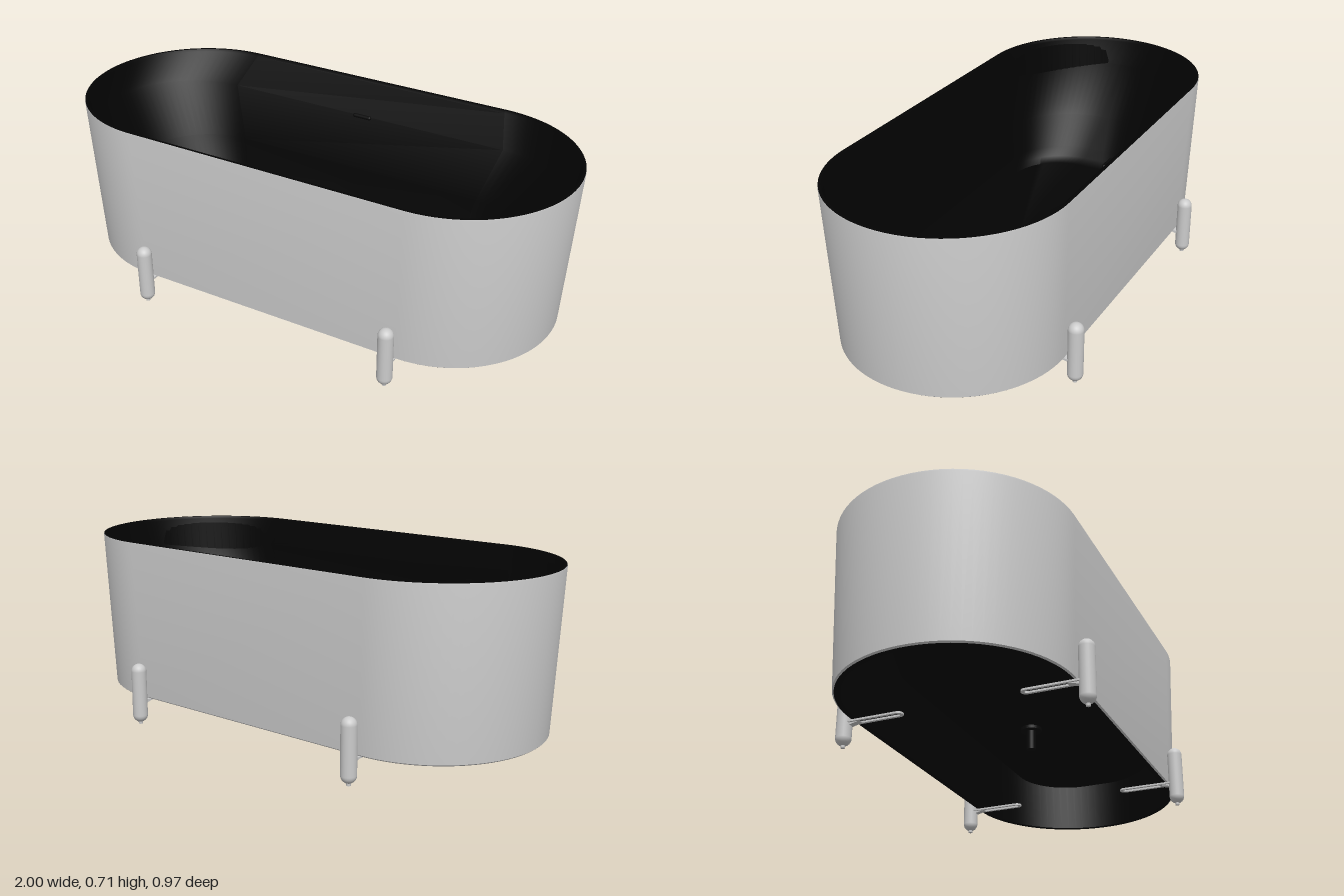
import * as THREE from 'three';
import { toCreasedNormals } from 'three/addons/utils/BufferGeometryUtils.js';

const grey = new THREE.MeshStandardMaterial({ color: 0xcccccc });
const greyThin = new THREE.MeshStandardMaterial({ color: 0xcccccc, side: THREE.DoubleSide });
const dark = new THREE.MeshStandardMaterial({ color: 0x030303, side: THREE.DoubleSide });
const drainDark = new THREE.MeshStandardMaterial({ color: 0x080808 });

// Rounded-rectangle ring; hx, hz are half sizes, r the corner radius
function ring([hx, hz, r, y, zc = 0], steps = 20) {
  const points = [];
  for (let q = 0; q < 4; q++) {
    const sx = q === 0 || q === 3 ? 1 : -1, sz = q < 2 ? 1 : -1;
    for (let i = 0; i <= steps; i++) {
      const a = (q + i / steps) * Math.PI / 2;
      points.push([sx * (hx - r) + r * Math.cos(a), y, zc + sz * (hz - r) + r * Math.sin(a)]);
    }
  }
  return points;
}

// Skin stretched over a series of rings
function loft(sections) {
  const rings = sections.map((s) => ring(s));
  const n = rings[0].length, index = [];
  for (let i = 0; i < rings.length - 1; i++) {
    for (let j = 0; j < n; j++) {
      const a = i * n + j, b = i * n + (j + 1) % n;
      index.push(a, a + n, b, b, a + n, b + n);
    }
  }
  const geo = new THREE.BufferGeometry();
  geo.setAttribute('position', new THREE.Float32BufferAttribute(rings.flat(2), 3));
  geo.setIndex(index);
  return toCreasedNormals(geo, 0.6);
}

function add(parent, name, geo, mat, x = 0, y = 0, z = 0) {
  const mesh = new THREE.Mesh(geo, mat);
  mesh.name = name;
  mesh.position.set(x, y, z);
  parent.add(mesh);
  return mesh;
}

// Rounded bar outline lying along the shape's y axis
function slot(path, halfWidth, from, to) {
  path.absarc(0, to - halfWidth, halfWidth, 0, Math.PI, false);
  path.absarc(0, from + halfWidth, halfWidth, Math.PI, Math.PI * 2, false);
  path.closePath();
  return path;
}

function createLeg() {
  const leg = new THREE.Group();
  leg.name = 'leg';
  // Upright capsule with a small levelling foot
  add(leg, 'legPost', new THREE.CapsuleGeometry(0.029, 0.177, 10, 24), grey, 0, 0.1255, 0.458);
  add(leg, 'levellingFoot', new THREE.CylinderGeometry(0.009, 0.008, 0.02, 16), grey, 0, 0.01, 0.458);
  // Slotted bar reaching in under the tub
  const bar = slot(new THREE.Shape(), 0.019, 0.222, 0.455);
  bar.holes.push(slot(new THREE.Path(), 0.009, 0.235, 0.41));
  const barGeo = new THREE.ExtrudeGeometry(bar, { depth: 0.007, bevelEnabled: false, curveSegments: 10 });
  barGeo.rotateX(Math.PI / 2);
  add(leg, 'slottedBracket', barGeo, grey, 0, 0.097, 0);
  // Tapered web between bar and post
  const web = new THREE.Shape([[0.39, 0.091], [0.445, 0.091], [0.445, 0.078]].map((p) => new THREE.Vector2(...p)));
  const webGeo = new THREE.ExtrudeGeometry(web, { depth: 0.024, bevelEnabled: false });
  webGeo.translate(0, 0, -0.012).rotateY(-Math.PI / 2);
  add(leg, 'bracketWeb', webGeo, grey);
  return leg;
}

export function createModel() {
  const tub = new THREE.Group();
  tub.name = 'bathtub';

  // Tapered outer skin
  add(tub, 'outerShell', loft([
    [0.958, 0.418, 0.417, 0.097],
    [0.964, 0.424, 0.423, 0.102],
    [0.999, 0.441, 0.440, 0.708],
    [0.998, 0.440, 0.439, 0.714],
  ]), greyThin);

  // Dark lining: bottom lip, inside of the skirt, thin rim, sloping back shoulder, then the basin
  add(tub, 'basinLining', loft([
    [0.958, 0.418, 0.417, 0.097],
    [0.938, 0.398, 0.397, 0.097],
    [0.986, 0.429, 0.428, 0.700],
    [0.998, 0.440, 0.439, 0.714],
    [0.988, 0.430, 0.429, 0.714],
    [0.984, 0.426, 0.425, 0.704],
    [0.970, 0.374, 0.370, 0.600, 0.044],
    [0.840, 0.324, 0.310, 0.390, 0.050],
    [0.762, 0.292, 0.260, 0.260, 0.054],
    [0.735, 0.280, 0.240, 0.222, 0.055],
    [0.695, 0.262, 0.210, 0.203, 0.055],
    [0, 0, 0, 0.197, 0.043],
  ]), dark);

  // Overflow slot in the back wall, drain cover and the pipe below it
  const overflow = add(tub, 'overflowSlot', new THREE.CapsuleGeometry(0.008, 0.064, 6, 12), drainDark, 0, 0.597, -0.328);
  overflow.rotation.z = Math.PI / 2;
  add(tub, 'drainCover', new THREE.CylinderGeometry(0.045, 0.047, 0.008, 32), drainDark, 0, 0.203, 0.043);
  add(tub, 'drainFlange', new THREE.CylinderGeometry(0.04, 0.04, 0.012, 32), drainDark, 0, 0.19, 0.043);
  add(tub, 'drainPipe', new THREE.CylinderGeometry(0.018, 0.018, 0.08, 24), drainDark, 0, 0.15, 0.043);

  // Four legs
  for (const x of [-0.522, 0.522]) {
    for (const turn of [0, Math.PI]) {
      const leg = createLeg();
      leg.position.x = x;
      leg.rotation.y = turn;
      tub.add(leg);
    }
  }
  return tub;
}
